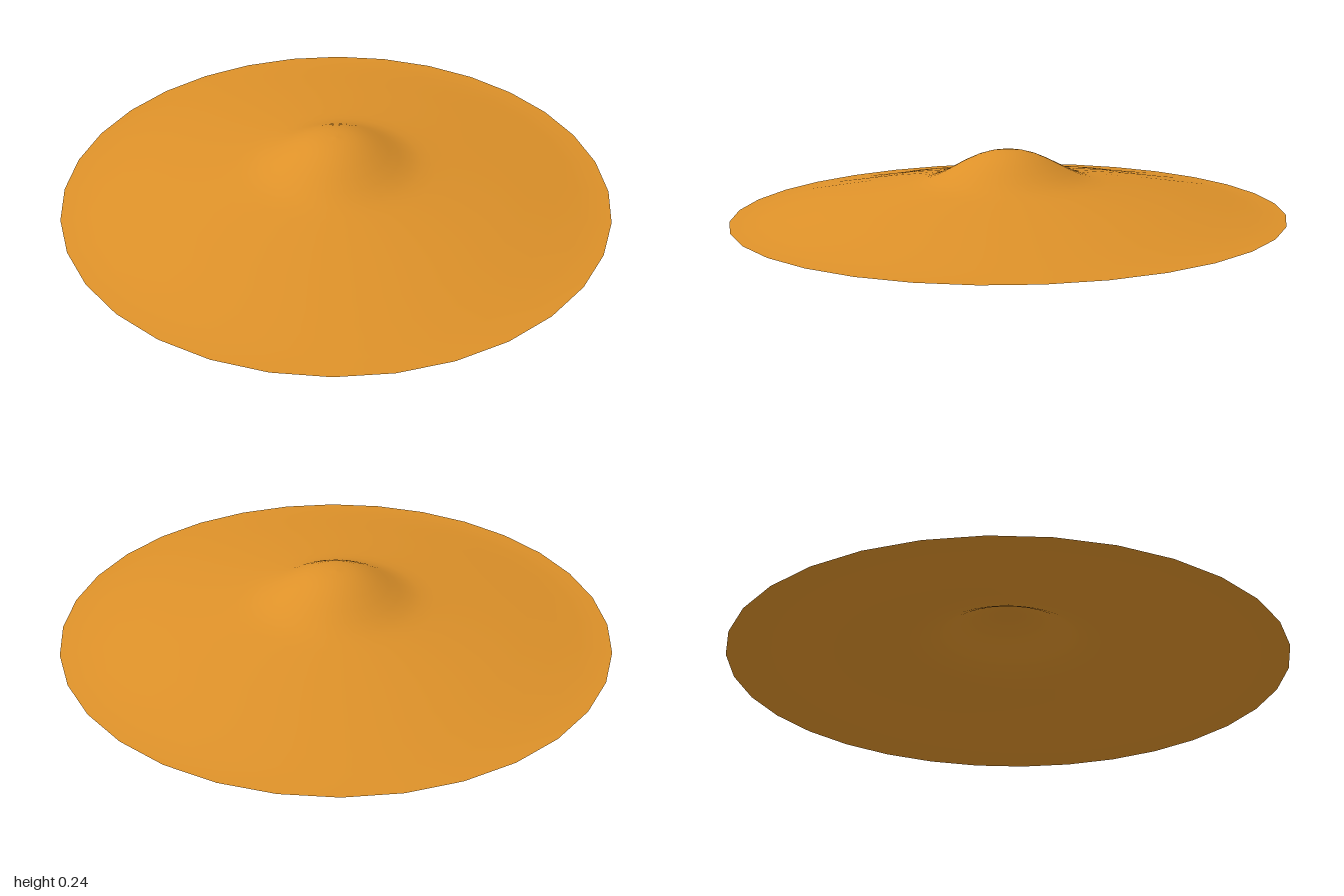
import * as THREE from 'three';

export function createModel() {
  const model = new THREE.Group();

  // Thin sheet profile from rim to crown: [radius, height]
  const profile = [
    [1, 0.012], [0.95, 0.016], [0.89, 0.025], [0.8, 0.042], [0.7, 0.062], [0.6, 0.081],
    [0.5, 0.098], [0.42, 0.112], [0.36, 0.122], [0.31, 0.132], [0.27, 0.145],
    [0.23, 0.163], [0.19, 0.185], [0.15, 0.206], [0.11, 0.224], [0.07, 0.236],
    [0.035, 0.241], [0, 0.243],
  ].map(([r, y]) => new THREE.Vector2(r, y));

  const cymbal = new THREE.Mesh(
    new THREE.LatheGeometry(profile, 32),
    new THREE.MeshStandardMaterial({ color: 0xdd9129, side: THREE.DoubleSide }),
  );
  cymbal.name = 'cymbal';
  // Slight tilt towards the front and one side
  cymbal.rotation.set(0.01, 0, 0.004);
  model.add(cymbal);
  return model;
}
